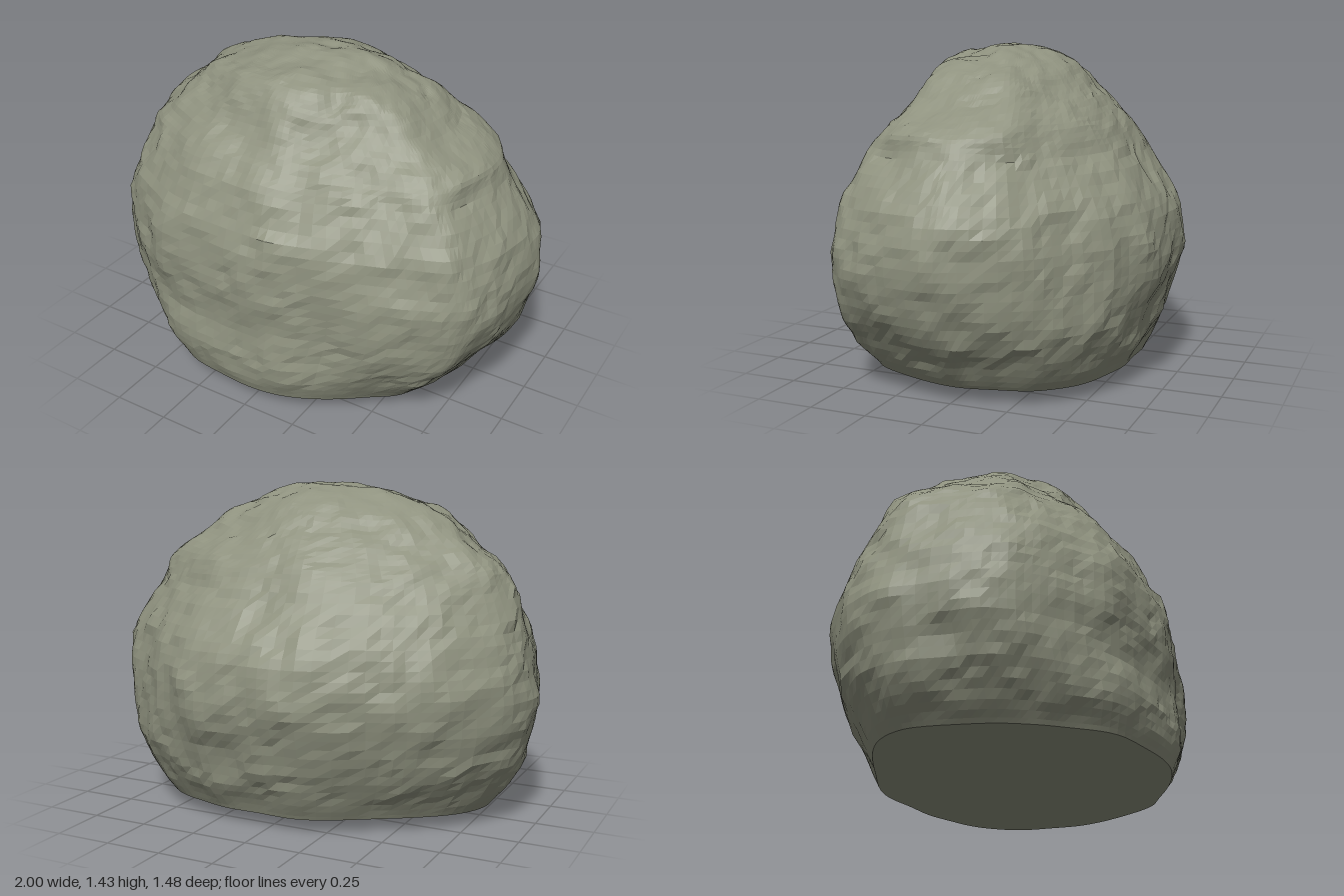
import * as THREE from 'three';

const { smoothstep, clamp } = THREE.MathUtils;

// plan outline at the widest level, counter-clockwise from above, as [x, z]
const OUTLINE = [
  [1, 0], [0.97, -0.13], [0.85, -0.35], [0.68, -0.48], [0.5, -0.62], [0.3, -0.72], [0.06, -0.73],
  [-0.18, -0.73], [-0.5, -0.6], [-0.72, -0.47], [-0.93, -0.25], [-1, -0.03], [-0.95, 0.2],
  [-0.89, 0.38], [-0.79, 0.5], [-0.65, 0.59], [-0.45, 0.69], [-0.2, 0.72], [0, 0.73], [0.2, 0.71],
  [0.5, 0.63], [0.7, 0.56], [0.87, 0.48], [0.93, 0.4], [0.98, 0.2],
];
// reach of the boulder at each height: y, -x, +x, -z, +z
const BODY = [
  [0.06, 0.8, 0.72, 0.56, 0.7], [0.2, 0.9, 0.84, 0.62, 0.74], [0.4, 0.96, 0.95, 0.68, 0.72],
  [0.6, 0.98, 0.99, 0.715, 0.73], [0.8, 0.94, 0.95, 0.66, 0.71], [1, 0.86, 0.82, 0.52, 0.61],
  [1.1, 0.8, 0.77, 0.45, 0.53], [1.2, 0.69, 0.6, 0.37, 0.45], [1.3, 0.57, 0.48, 0.28, 0.39],
  [1.36, 0.42, 0.37, 0.2, 0.33], [1.4, 0.25, 0.24, 0.11, 0.17], [1.43, 0.05, 0.15, 0.04, 0.05],
  [1.435, 0, 0, 0, 0],
];
const BASE = [[0, 0, 0, 0, 0], [0.012, 0.35, 0.31, 0.24, 0.3], [0.034, 0.6, 0.54, 0.42, 0.52], BODY[0]];
// bulges (+) and cuts (-): amount, bearing, angular width, heights where it begins and is full
const FACETS = [
  [-0.045, 0.75, 0.4, 0.45, 0.95], // upper front slant
  [0.03, -0.6, 0.3, 0.8, 1.1], // shoulder at the back
  [0.14, -0.68, 0.32, 0.6, 0.18], // blunt foot
  [-0.09, 0.65, 0.4, 0.4, 0.06], // undercuts at the base
  [-0.07, 2.55, 0.35, 0.4, 0.06],
  [-0.06, -2.5, 0.4, 0.35, 0.06],
];

// smooth value noise, roughly -1..1
function hash(x, y, z) {
  const s = Math.sin(x * 127.1 + y * 311.7 + z * 74.7) * 43758.5453;
  return (s - Math.floor(s)) * 2 - 1;
}
function noise(x, y, z) {
  const i = [x, y, z].map(Math.floor);
  const [u, v, w] = [x - i[0], y - i[1], z - i[2]].map((f) => f * f * (3 - 2 * f));
  let sum = 0;
  for (let k = 0; k < 8; k++) {
    const a = k & 1, b = (k >> 1) & 1, c = k >> 2;
    sum += hash(i[0] + a, i[1] + b, i[2] + c) * (a ? u : 1 - u) * (b ? v : 1 - v) * (c ? w : 1 - w);
  }
  return sum;
}

const bell = (v, centre, width) => Math.exp(-(((v - centre) / width) ** 2));

function facet(p) {
  const angle = Math.atan2(p.z, p.x);
  let scale = 1;
  for (const [amount, bearing, width, begin, full] of FACETS) {
    const level = full > begin ? smoothstep(p.y, begin, full) : 1 - smoothstep(p.y, full, begin);
    scale += amount * level * bell(angle, bearing, width);
  }
  p.x *= scale;
  p.z *= scale;
}

// weathering: a shallow crease, broad lumps and fine chips
function weather(p) {
  const fade = smoothstep(p.y, 0.06, 0.2);
  const crease = 0.015 * smoothstep(p.z, 0.08, 0.35) * bell(p.x, 0.25 + 0.1 * Math.sin(p.y * 4), 0.07);
  const lumps = 0.017 * noise(p.x * 4 + 9, p.y * 4, p.z * 4)
    + 0.014 * noise(p.x * 9, p.y * 11 + 5, p.z * 9)
    + 0.008 * noise(p.x * 20, p.y * 26, p.z * 20 + 3);
  const out = new THREE.Vector3(p.x, p.y - 0.55, p.z).normalize();
  p.addScaledVector(out, (lumps - crease) * fade);
}

// skin a stack of scaled outlines, with flat facets
function loft(rows, steps, segments, rough) {
  const plan = new THREE.CatmullRomCurve3(OUTLINE.map(([x, z]) => new THREE.Vector3(x, 0, z / 0.73)), true);
  const ring = Array.from({ length: segments }, (_, i) => plan.getPoint(i / segments));
  const count = (rows.length - 1) * steps;
  const positions = [], index = [];
  for (let j = 0; j <= count; j++) {
    const r = Math.min(Math.floor(j / steps), rows.length - 2);
    const t = j / steps - r;
    const row = (k) => rows[clamp(k, 0, rows.length - 1)];
    const [y, left, right, back, front] = rows[0].map((_, c) => {
      const a = row(r - 1)[c], b = row(r)[c], d = row(r + 1)[c], e = row(r + 2)[c];
      return b + 0.5 * t * (d - a + t * (2 * a - 5 * b + 4 * d - e + t * (3 * (b - d) + e - a)));
    });
    for (const q of ring) {
      const p = new THREE.Vector3(q.x * (q.x < 0 ? left : right), y, q.z * (q.z < 0 ? back : front));
      facet(p);
      if (rough) weather(p);
      positions.push(p.x, p.y, p.z);
    }
  }
  for (let j = 0; j < count; j++) {
    for (let i = 0; i < segments; i++) {
      const a = j * segments + i, b = j * segments + (i + 1) % segments;
      index.push(a, b, b + segments, a, b + segments, a + segments);
    }
  }
  const indexed = new THREE.BufferGeometry();
  indexed.setAttribute('position', new THREE.Float32BufferAttribute(positions, 3));
  indexed.setIndex(index);
  const geometry = indexed.toNonIndexed();
  geometry.computeVertexNormals();
  return geometry;
}

export function createModel() {
  const group = new THREE.Group();
  group.name = 'boulder';
  const stone = new THREE.MeshStandardMaterial({ color: 0x8f927f });
  stone.name = 'grey green stone';

  const body = new THREE.Mesh(loft(BODY, 5, 120, true), stone);
  body.name = 'boulderBody';
  const base = new THREE.Mesh(loft(BASE, 2, 120, false), stone);
  base.name = 'cutBase';
  group.add(body, base);
  return group;
}
